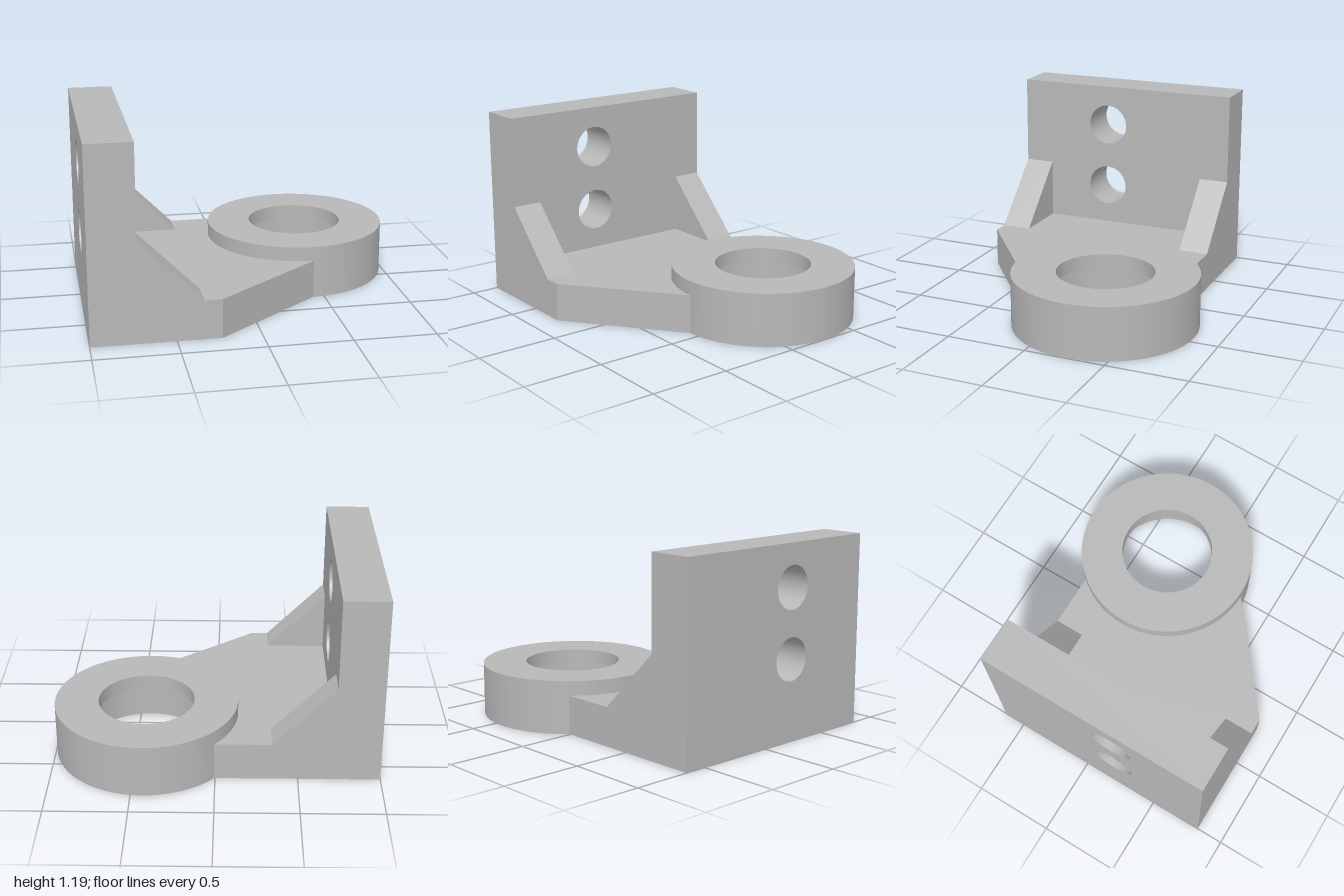
import * as THREE from 'three';
import { toCreasedNormals } from 'three/addons/utils/BufferGeometryUtils.js';

const WALL = { x0: -1, x1: -0.72, top: 1.19 };
const Z_BACK = -0.64, Z_FRONT = 0.83;
const PLATE_TOP = 0.24;
const RING = { x: 0.43, z: -0.262, r: 0.569, top: 0.33, bore: 0.298, counterbore: 0.38 };

export function createModel() {
  const group = new THREE.Group();
  const metal = new THREE.MeshStandardMaterial({ color: 0xb8b8b8 });
  metal.name = 'grey metal';

  const add = (name, geometry) => {
    const mesh = new THREE.Mesh(toCreasedNormals(geometry, 0.5), metal);
    mesh.name = name;
    group.add(mesh);
    return mesh;
  };
  const extrude = (shape, depth) =>
    new THREE.ExtrudeGeometry(shape, { depth, bevelEnabled: false, curveSegments: 64 });
  const polygon = (points) => new THREE.Shape(points.map(([x, y]) => new THREE.Vector2(x, y)));

  // Upright mounting wall, drawn in (-z, y) and extruded along x, with two bolt holes
  const wall = polygon([[-Z_FRONT, 0], [-Z_BACK, 0], [-Z_BACK, WALL.top], [-Z_FRONT, WALL.top]]);
  for (const y of [0.5, 0.927]) {
    wall.holes.push(new THREE.Path().absarc(-0.217, y, 0.132, 0, Math.PI * 2, true));
  }
  add('mountingWall', extrude(wall, WALL.x1 - WALL.x0).rotateY(Math.PI / 2).translate(WALL.x0, 0, 0));

  // Base plate, drawn in (x, -z), with an arc cut to receive the ring
  const backAngle = Math.PI - Math.asin((RING.z - Z_BACK) / RING.r);
  const plate = new THREE.Shape();
  plate.moveTo(WALL.x1, -Z_FRONT);
  plate.lineTo(-0.235, -Z_FRONT);
  plate.lineTo(RING.x, -RING.z - RING.r);
  plate.absarc(RING.x, -RING.z, RING.r, -Math.PI / 2, backAngle, true);
  plate.lineTo(WALL.x1, -Z_BACK);
  plate.closePath();
  add('basePlate', extrude(plate, PLATE_TOP).rotateX(-Math.PI / 2));

  // Ring with a stepped bore, wider below
  const profile = [
    [RING.counterbore, 0], [RING.r, 0], [RING.r, RING.top], [RING.bore, RING.top],
    [RING.bore, PLATE_TOP], [RING.counterbore, PLATE_TOP], [RING.counterbore, 0],
  ].map(([r, y]) => new THREE.Vector2(r, y));
  add('bearingRing', new THREE.LatheGeometry(profile, 128)).position.set(RING.x, 0, RING.z);

  // Triangular gussets at both ends of the wall
  const thickness = 0.19;
  const gusset = polygon([[WALL.x1, PLATE_TOP], [-0.34, PLATE_TOP], [WALL.x1, 0.62]]);
  add('backGusset', extrude(gusset, thickness)).position.z = Z_BACK;
  add('frontGusset', extrude(gusset, thickness)).position.z = Z_FRONT - thickness;

  return group;
}
